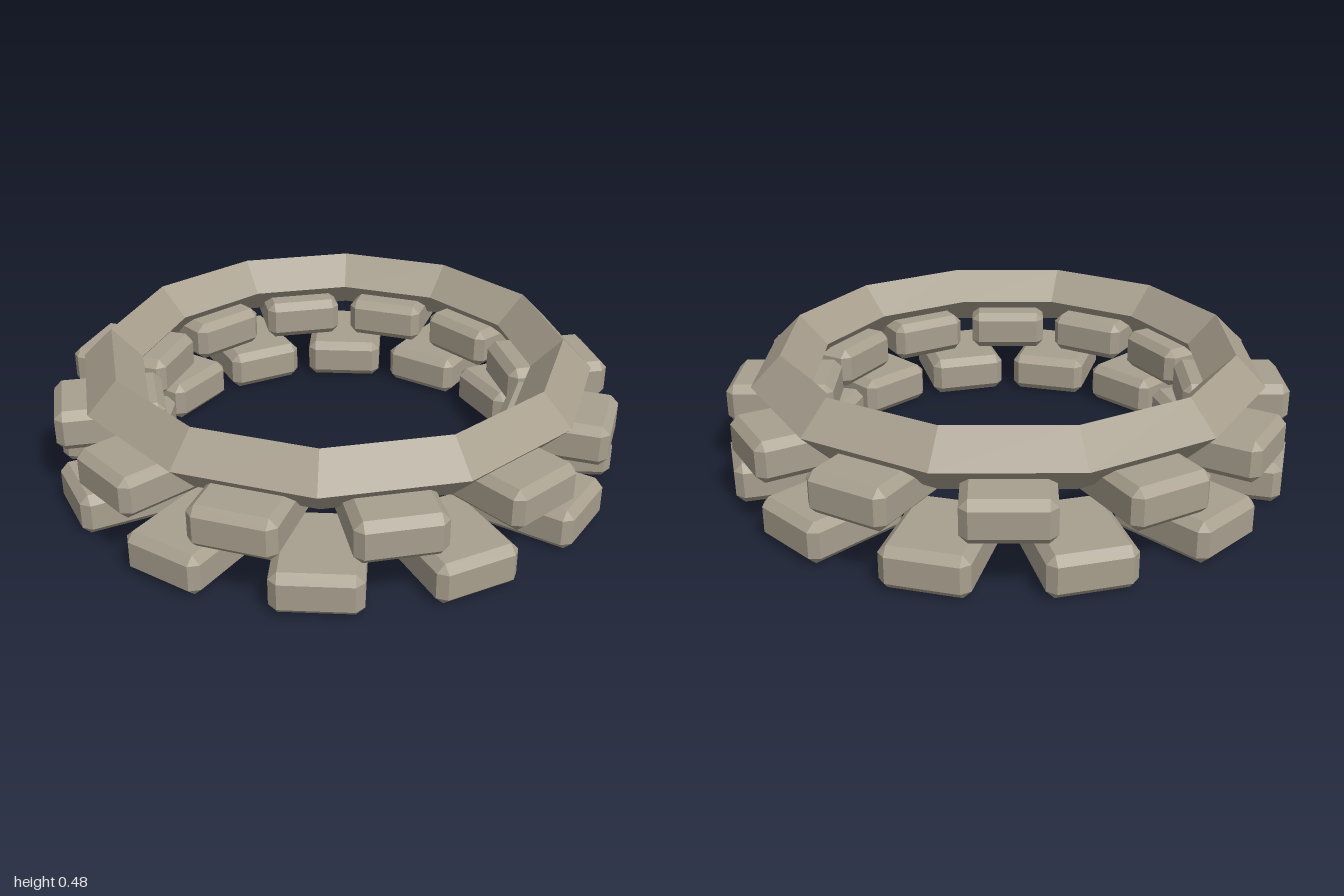
import * as THREE from 'three';
import { ConvexGeometry } from 'three/addons/geometries/ConvexGeometry.js';

// Box with every edge cut by a single chamfer
function chamferedBox(w, h, d, c) {
  const pts = [];
  for (const sx of [-1, 1]) for (const sy of [-1, 1]) for (const sz of [-1, 1]) {
    const x = w / 2, y = h / 2, z = d / 2;
    pts.push(
      new THREE.Vector3(sx * x, sy * (y - c), sz * (z - c)),
      new THREE.Vector3(sx * (x - c), sy * y, sz * (z - c)),
      new THREE.Vector3(sx * (x - c), sy * (y - c), sz * z)
    );
  }
  return new ConvexGeometry(pts);
}

export function createModel() {
  const model = new THREE.Group();
  model.name = 'stoneRing';
  const stone = new THREE.MeshStandardMaterial({ color: 0xa89f8e, flatShading: true });
  stone.name = 'stone';

  const COUNT = 12;
  const block = chamferedBox(0.294, 0.147, 0.38, 0.028);

  // One course of radial blocks
  function course(name, y, offset) {
    const group = new THREE.Group();
    group.name = name;
    for (let i = 0; i < COUNT; i++) {
      const a = (i + offset) * Math.PI * 2 / COUNT;
      const mesh = new THREE.Mesh(block, stone);
      mesh.name = 'block';
      mesh.position.set(Math.sin(a) * 0.81, y, Math.cos(a) * 0.81);
      mesh.rotation.y = a;
      group.add(mesh);
    }
    model.add(group);
  }
  course('lowerCourse', 0.0735, 0);
  course('upperCourse', 0.262, 0.5); // staggered by half a block

  // Capping ring with a diamond cross-section
  const rim = new THREE.Mesh(new THREE.TorusGeometry(0.808, 0.107, 4, COUNT), stone);
  rim.name = 'capRing';
  rim.rotation.x = -Math.PI / 2;
  rim.position.y = 0.373;
  model.add(rim);

  return model;
}
